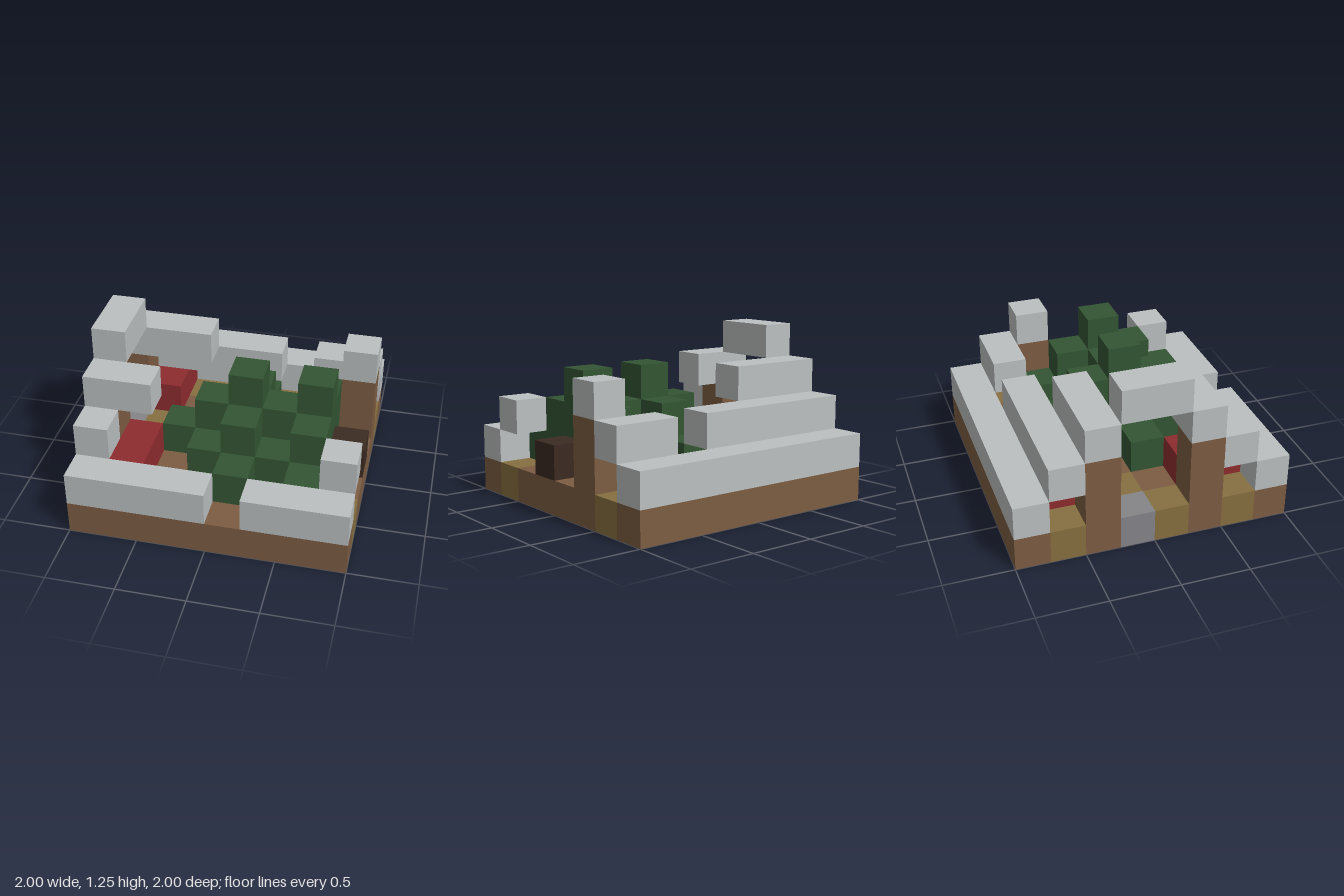
import * as THREE from 'three';

const CELL = 0.25;

function material(name, color) {
  const m = new THREE.MeshStandardMaterial({ color });
  m.name = name;
  return m;
}

export function createModel() {
  const model = new THREE.Group();
  model.name = 'blockHut';

  const roofGrey = material('roof grey', 0xbbbfbf);
  const woodBrown = material('wood brown', 0x7c5c42);
  const plankTan = material('plank tan', 0x866f40);
  const stoneGrey = material('stone grey', 0x858589);
  const leafGreen = material('leaf green', 0x335533);
  const logBrown = material('dark log brown', 0x3b2b22);
  const bedRed = material('bed red', 0x8e2c2e);

  // Box covering whole cells: first column, layer and row, then the count along each axis
  function block(parent, name, mat, [i, j, k], [nx, ny, nz] = [1, 1, 1]) {
    const mesh = new THREE.Mesh(new THREE.BoxGeometry(nx * CELL, ny * CELL, nz * CELL), mat);
    mesh.position.set((i + nx / 2) * CELL - 1, (j + ny / 2) * CELL, (k + nz / 2) * CELL - 1);
    mesh.name = name;
    parent.add(mesh);
  }

  function group(name) {
    const g = new THREE.Group();
    g.name = name;
    model.add(g);
    return g;
  }

  // Floor, from back row to front row: B brown, T tan, S stone
  const floor = group('floor');
  const floorMaterials = { B: woodBrown, T: plankTan, S: stoneGrey };
  const rows = ['BBBBBBBB', 'TBTTTTBT', 'BTBBBTBB', 'STBBBBBB',
    'TBBBBBBB', 'BTBBBBBB', 'TBTBBTBT', 'BBBBBBBB'];
  rows.forEach((row, k) => {
    for (const run of row.matchAll(/B+|T+|S+/g)) {
      block(floor, 'floorBoard', floorMaterials[run[0][0]], [run.index, 0, k], [run[0].length, 1, 1]);
    }
  });

  // Stepped, broken roof: column, layer, row, length
  const roof = group('roof');
  [[0, 1, 0, 8], [0, 2, 1, 5], [6, 2, 1, 2], [0, 3, 2, 3], [7, 3, 2, 1],
    [0, 3, 5, 2], [0, 2, 6, 1], [7, 2, 6, 1], [0, 1, 7, 4], [5, 1, 7, 3],
  ].forEach(([i, j, k, n]) => block(roof, 'roofBeam', roofGrey, [i, j, k], [n, 1, 1]));
  block(roof, 'roofRidge', roofGrey, [0, 4, 3], [1, 1, 2]);

  // Pillars that carry the roof
  const pillars = group('pillars');
  [[0, 2], [0, 5], [7, 2]].forEach(([i, k]) => block(pillars, 'pillar', woodBrown, [i, 1, k], [1, 2, 1]));

  // Beds
  const beds = group('beds');
  [1, 5].forEach((k) => block(beds, 'bed', bedRed, [1, 1, k], [1, 1, 2]));

  // Two overlapping stepped bushes, each layer a smaller diamond; the log ends them on the right
  const bushes = group('bushes');
  const filled = new Set();
  for (const centre of [4, 6]) {
    for (let layer = 1; layer <= 3; layer++) {
      const reach = 3 - layer;
      for (let dx = -reach; dx <= reach; dx++) {
        const depth = reach - Math.abs(dx);
        for (let dz = -depth; dz <= depth; dz++) {
          const cell = [centre + dx, layer, 4 + dz];
          if (cell[0] > 6 || filled.has(cell.join())) continue;
          filled.add(cell.join());
          block(bushes, 'leafBlock', leafGreen, cell);
        }
      }
    }
  }
  block(model, 'log', logBrown, [7, 1, 4]);

  return model;
}
